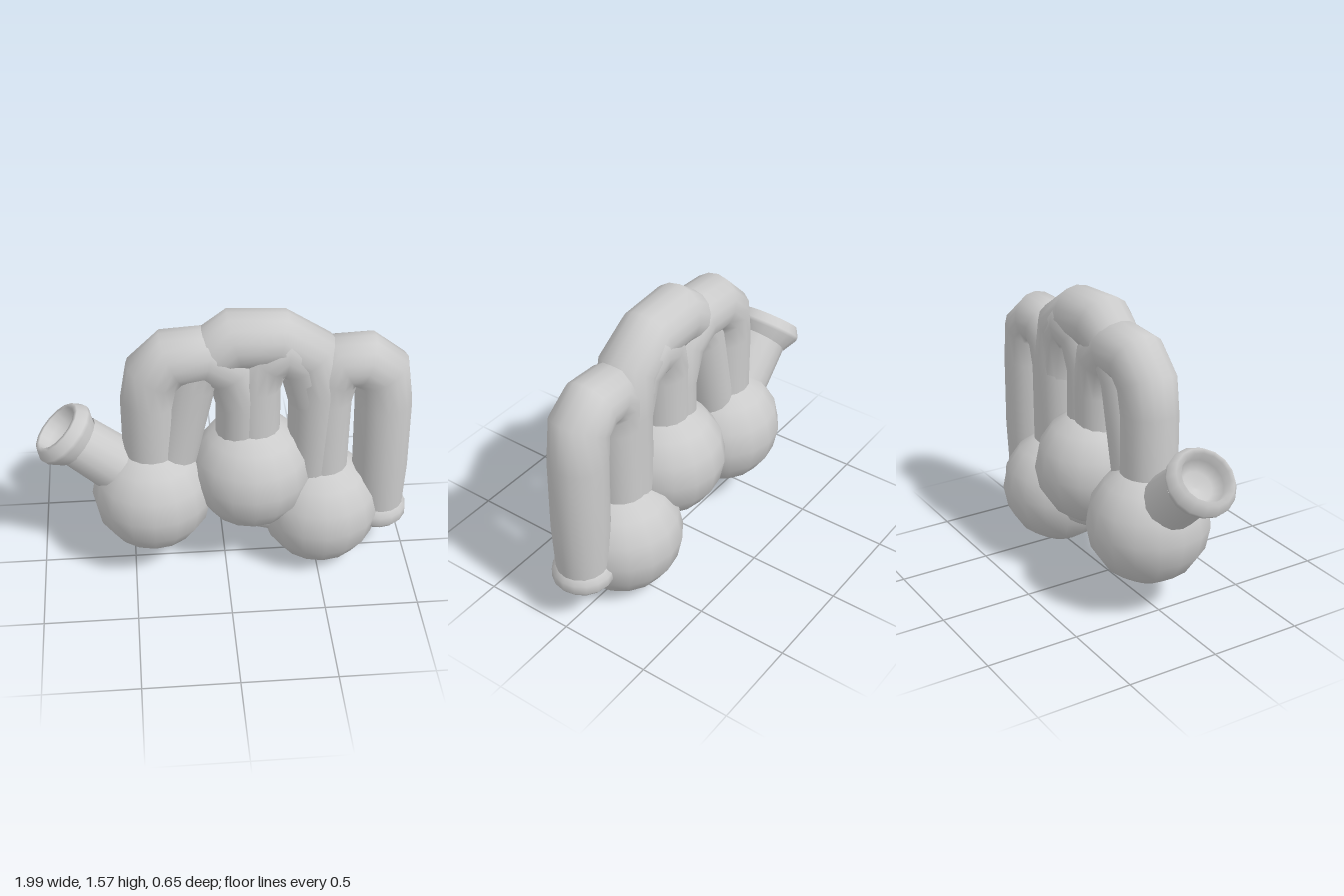
import * as THREE from 'three';

const material = new THREE.MeshStandardMaterial({ color: 0xcccccc, side: THREE.DoubleSide });
const SIDES = 16;

// Sweeps a round section along a planar path of [x, y, radius] stations, with mitred bends
function sweep(path) {
  const positions = [], index = [];
  path.forEach(([x, y, r], i) => {
    const p = path[Math.max(i - 1, 0)], q = path[Math.min(i + 1, path.length - 1)];
    const here = new THREE.Vector2(x, y);
    const t = new THREE.Vector2();
    if (i > 0) t.add(here.clone().sub(new THREE.Vector2(p[0], p[1])).normalize());
    if (i < path.length - 1) t.add(new THREE.Vector2(q[0], q[1]).sub(here).normalize());
    t.normalize();
    for (let j = 0; j < SIDES; j++) {
      const a = (j / SIDES) * Math.PI * 2;
      positions.push(x - t.y * r * Math.cos(a), y + t.x * r * Math.cos(a), r * Math.sin(a));
      if (i === path.length - 1) continue;
      const k = (j + 1) % SIDES, s = i * SIDES;
      index.push(s + j, s + k, s + SIDES + j, s + k, s + SIDES + k, s + SIDES + j);
    }
  });
  const g = new THREE.BufferGeometry();
  g.setAttribute('position', new THREE.Float32BufferAttribute(positions, 3));
  g.setIndex(index);
  g.computeVertexNormals();
  return g;
}

function lathe(profile) {
  return new THREE.LatheGeometry(profile.map(([r, y]) => new THREE.Vector2(r, y)), SIDES);
}

export function createModel() {
  const model = new THREE.Group();
  const add = (name, geometry, x = 0, y = 0) => {
    const mesh = new THREE.Mesh(geometry, material);
    mesh.name = name;
    mesh.position.set(x, y, 0);
    model.add(mesh);
    return mesh;
  };

  // Three round chambers
  const chambers = { rightChamber: [-0.39, 0.48], middleChamber: [0.14, 0.6], leftChamber: [0.52, 0.33] };
  for (const [name, [x, y]] of Object.entries(chambers)) {
    add(name, new THREE.SphereGeometry(0.325, 16, 8), x, y);
  }

  // Pipes looping between the chambers
  const pipes = {
    rightArchPipe: [
      [-0.39, 0.5, 0.15], [-0.39, 1.08, 0.15], [-0.365, 1.23, 0.155], [-0.27, 1.325, 0.155],
      [-0.09, 1.335, 0.155], [0.04, 1.25, 0.15], [0.09, 1.05, 0.14], [0.09, 0.7, 0.14],
    ],
    topArchPipe: [
      [-0.3, 0.6, 0.13], [-0.17, 1.18, 0.13], [-0.09, 1.33, 0.14], [0.05, 1.42, 0.16],
      [0.27, 1.41, 0.155], [0.43, 1.31, 0.155], [0.48, 1.1, 0.15], [0.47, 0.5, 0.14],
    ],
    middleArchPipe: [
      [0.15, 0.6, 0.145], [0.15, 1.15, 0.14], [0.2, 1.31, 0.15], [0.31, 1.36, 0.168],
      [0.41, 1.28, 0.15], [0.48, 1.0, 0.14], [0.48, 0.5, 0.14],
    ],
    outletPipe: [
      [0.52, 0.45, 0.14], [0.525, 1.05, 0.14], [0.55, 1.18, 0.145], [0.61, 1.26, 0.15],
      [0.72, 1.26, 0.152], [0.81, 1.19, 0.155], [0.832, 1.0, 0.152], [0.84, 0.6, 0.15],
      [0.845, 0.32, 0.135],
    ],
    lowerConnector: [[0.05, 0.4, 0.02], [0.085, 0.385, 0.14], [0.5, 0.28, 0.15]],
    mouthpieceNeck: [[-0.39, 0.48, 0.15], [-0.62, 0.7, 0.15], [-0.77, 0.83, 0.142]],
  };
  for (const [name, path] of Object.entries(pipes)) add(name, sweep(path));

  // Flared cup with a hollow bowl, tilted along the neck
  const cup = add('mouthpieceCup', lathe([
    [0.14, -0.01], [0.145, 0], [0.182, 0.065], [0.184, 0.085], [0.155, 0.135],
    [0.128, 0.135], [0.12, 0.08], [0.08, 0.03], [0, 0.01],
  ]), -0.785, 0.82);
  cup.rotation.z = Math.atan2(0.68, 0.74);

  // Lip around the open end of the outlet
  add('outletLip', lathe([
    [0.125, 0.3], [0.13, 0.24], [0.142, 0.24], [0.161, 0.265], [0.161, 0.315], [0.135, 0.345],
  ]), 0.84, 0);

  return model;
}
